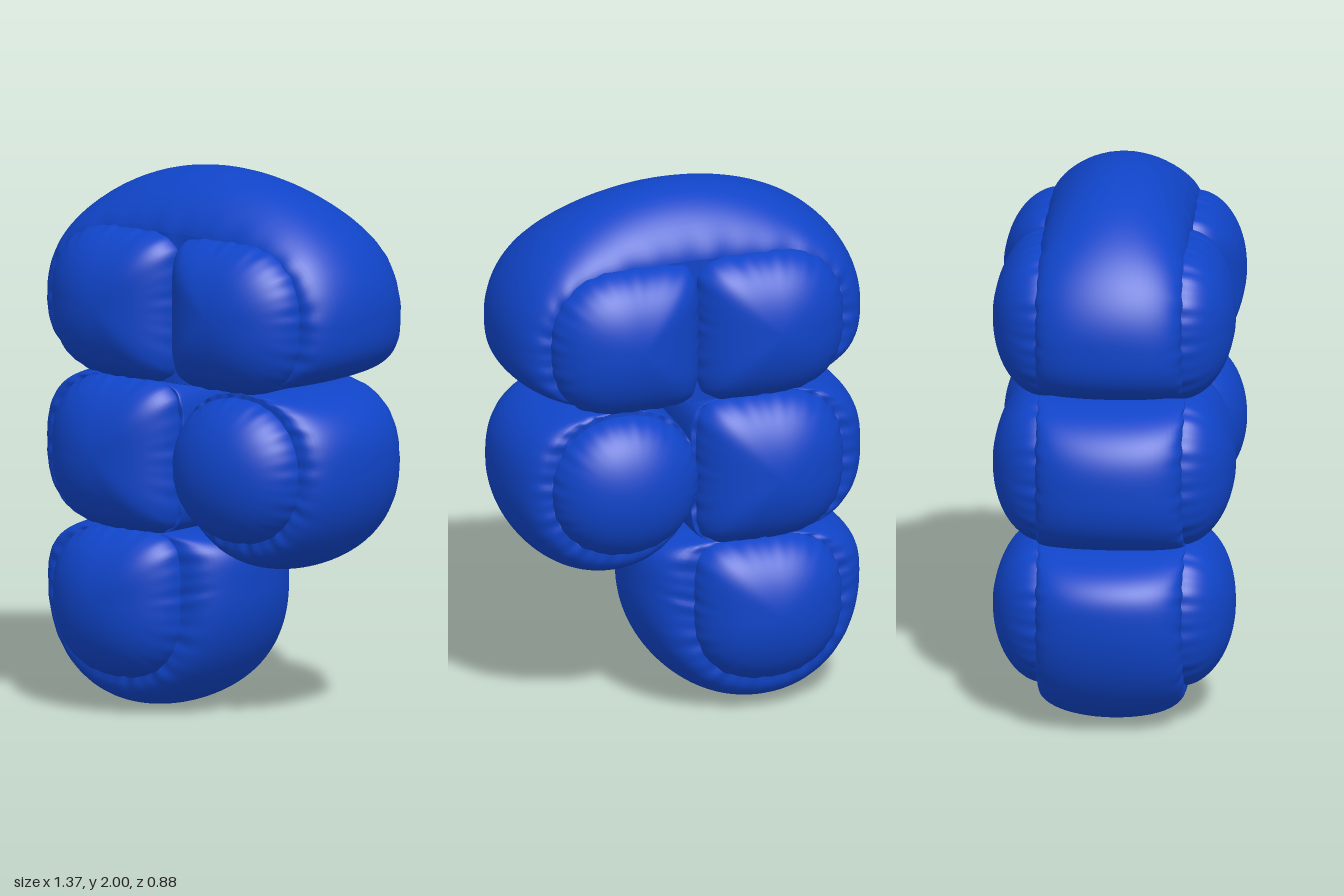
import * as THREE from 'three';

const SEG = 160;
const SEAM = 0.265; // half depth of the bands
const DOME = 0.175; // how far the pillows swell beyond the bands

// Rounded outline: edges [left, right, bottom, top], centre [x, y],
// squareness per quadrant [upper right, upper left, lower left, lower right]
const outline = (edges, centre, squareness) => ({ edges, centre, squareness });

function pointOn(o, a) {
  const c = Math.cos(a), s = Math.sin(a);
  const n = o.squareness[s >= 0 ? (c >= 0 ? 0 : 1) : (c < 0 ? 2 : 3)];
  const r = Math.pow(Math.abs(c) ** n + Math.abs(s) ** n, -1 / n);
  const rx = c >= 0 ? o.edges[1] - o.centre[0] : o.centre[0] - o.edges[0];
  const ry = s >= 0 ? o.edges[3] - o.centre[1] : o.centre[1] - o.edges[2];
  return [o.centre[0] + rx * c * r, o.centre[1] + ry * s * r];
}

// Smooth skin over closed rings running from back to front
function loft(ringCount, vertexAt) {
  const pos = [], index = [];
  for (let i = 0; i < ringCount; i++) {
    for (let j = 0; j < SEG; j++) {
      pos.push(...vertexAt(i, (j / SEG) * Math.PI * 2));
      if (i === ringCount - 1) continue;
      const a = i * SEG + j, b = i * SEG + ((j + 1) % SEG);
      index.push(a, b, b + SEG, a, b + SEG, a + SEG);
    }
  }
  const g = new THREE.BufferGeometry();
  g.setAttribute('position', new THREE.Float32BufferAttribute(pos, 3));
  g.setIndex(index);
  g.computeVertexNormals();
  return g;
}

// Small fabric puckers along the seams
const pucker = (a) => 0.5 * Math.sin(31 * a) + 0.5 * Math.sin(19 * a + 1.3);

// Band: swells from the inner seam outline to the outer outline at mid depth;
// doubled seam rings keep the flat caps crisp
function bandGeometry(outer, inner, topRoundness) {
  const N = 28;
  return loft(N + 5, (i, a) => {
    const k = Math.min(Math.max(i - 2, 0), N);
    const t = (k / N - 0.5) * Math.PI;
    const cap = i === 0 || i === N + 4 ? 0 : 1;
    const power = THREE.MathUtils.lerp(0.75, topRoundness, Math.max(0, Math.sin(a)));
    const swell = Math.pow(Math.max(Math.cos(t), 0), power);
    const p = pointOn(inner, a), q = pointOn(outer, a);
    const z = SEAM * Math.sin(t) * (1 + 0.015 * pucker(a) * Math.abs(Math.sin(t)) ** 8);
    return [0, 1].map((d) => {
      const v = p[d] + (q[d] - p[d]) * swell;
      return inner.centre[d] + (v - inner.centre[d]) * cap;
    }).concat(z);
  });
}

// Pillow: a dome on the front and a matching one on the back
function pillowGeometry(o) {
  const N = 20;
  return loft(2 * N + 2, (i, a) => {
    const front = i > N;
    const phi = ((front ? i - N - 1 : N - i) / N) * Math.PI / 2;
    const rim = Math.cos(phi) ** 8;
    const s = Math.cos(phi) * (1 + 0.012 * pucker(a) * rim);
    const z = SEAM - 0.015 + (DOME + 0.015) * Math.sin(phi);
    const p = pointOn(o, a);
    return [
      o.centre[0] + (p[0] - o.centre[0]) * s,
      o.centre[1] + (p[1] - o.centre[1]) * s,
      front ? z : -z,
    ];
  });
}

export function createModel() {
  const group = new THREE.Group();
  const material = new THREE.MeshStandardMaterial({ color: 0x1044c8, side: THREE.DoubleSide });
  const add = (name, geometry) => {
    const mesh = new THREE.Mesh(geometry, material);
    mesh.name = name;
    group.add(mesh);
  };

  const cells = [
    {
      name: 'top',
      outer: outline([-0.685, 0.685, 1.235, 2], [0, 1.52], [2, 2, 3.2, 3.2]),
      inner: outline([-0.56, 0.56, 1.24, 1.79], [0, 1.52], [3, 3, 3.2, 3.2]),
      topRoundness: 1.3,
      pillows: [
        outline([-0.56, 0.004, 1.237, 1.79], [-0.27, 1.52], [6, 2.4, 2.6, 6]),
        outline([-0.004, 0.56, 1.237, 1.79], [0.27, 1.52], [2.4, 6, 6, 2.6]),
      ],
    },
    {
      name: 'middleRight',
      outer: outline([-0.685, 0.03, 0.675, 1.245], [-0.3, 0.96], [6, 2.6, 2.6, 6]),
      inner: outline([-0.56, 0.02, 0.68, 1.24], [-0.28, 0.96], [6, 2.8, 2.8, 6]),
      topRoundness: 0.75,
      pillows: [outline([-0.56, 0.004, 0.677, 1.243], [-0.27, 0.96], [6, 2.5, 2.5, 6])],
    },
    {
      name: 'middleLeft',
      outer: outline([0, 0.68, 0.565, 1.245], [0.31, 0.95], [2.6, 2.3, 2.1, 2]),
      inner: outline([0, 0.555, 0.685, 1.235], [0.28, 0.95], [2.4, 2.2, 2.1, 2.1]),
      topRoundness: 0.75,
      pillows: [outline([-0.002, 0.555, 0.685, 1.22], [0.28, 0.95], [2.2, 2.1, 2.1, 2.1])],
    },
    {
      name: 'bottom',
      outer: outline([-0.682, 0.19, 0, 0.685], [-0.27, 0.47], [5, 2.7, 2.05, 2]),
      inner: outline([-0.555, 0.01, 0.13, 0.68], [-0.27, 0.42], [5, 2.7, 2.3, 2.3]),
      topRoundness: 0.75,
      pillows: [outline([-0.555, 0.01, 0.13, 0.683], [-0.27, 0.42], [5, 2.5, 2.2, 2.4])],
    },
  ];

  for (const cell of cells) {
    add(cell.name + 'Band', bandGeometry(cell.outer, cell.inner, cell.topRoundness));
    cell.pillows.forEach((o, i) => add(cell.name + 'Pillow' + (i + 1), pillowGeometry(o)));
  }
  return group;
}
